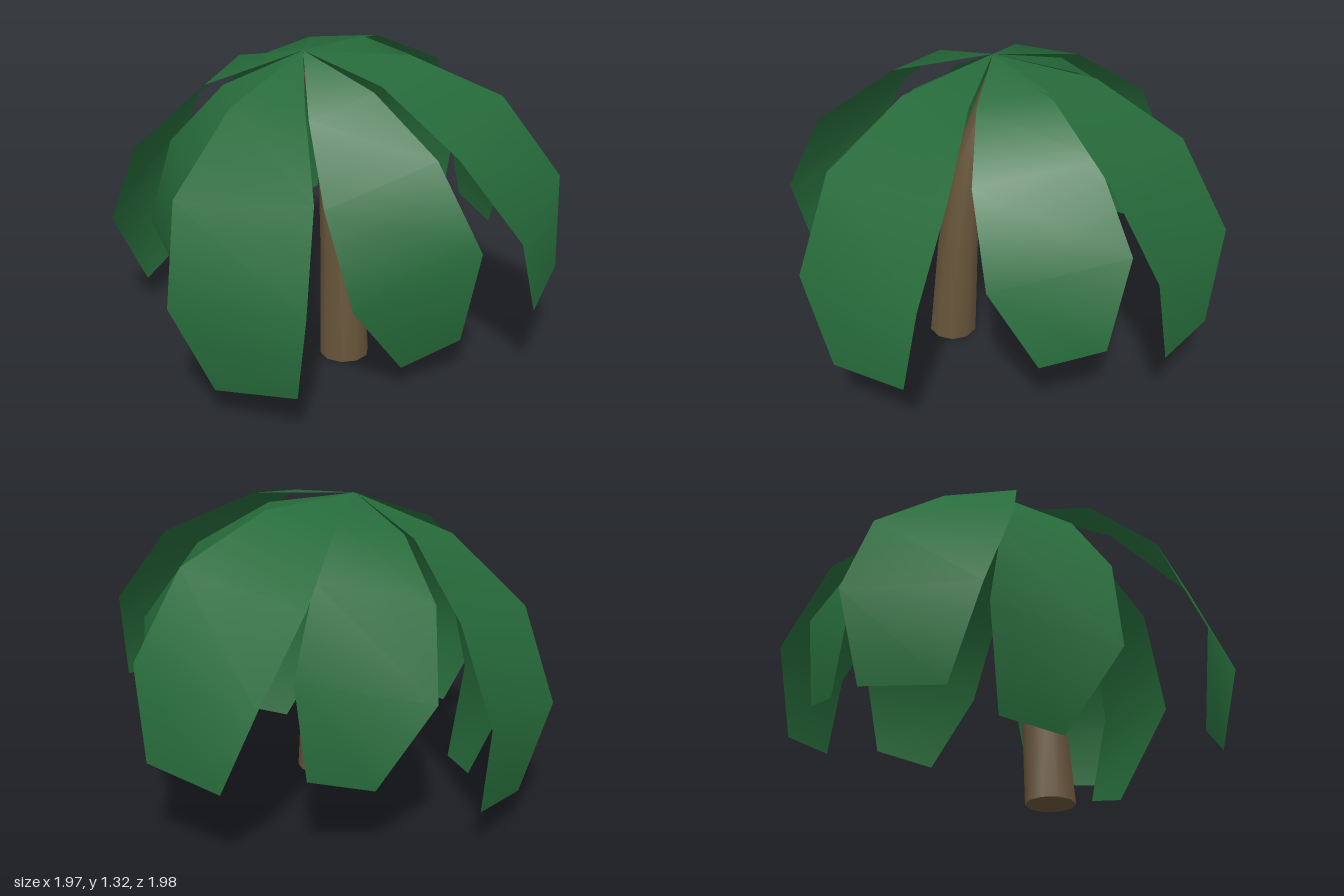
import * as THREE from 'three';

const CROWN = new THREE.Vector3(-0.1, 1.32, 0.05);
const RAD = Math.PI / 180;

// Leaf kinds: segment lengths, bend of each segment (degrees), widths at each row
const OUTER = { len: [0.41, 0.41, 0.42, 0.38], bend: [0, 23.5, 47, 81], width: [0.33, 0.6, 0.59, 0.36] };
const INNER = { len: [0.36, 0.36, 0.42, 0.42], bend: [0, 23.5, 47, 79], width: [0.29, 0.5, 0.58, 0.28] };

// kind, heading (from +x towards +z), droop, roll, length scale
const LEAVES = [
  [OUTER, 16, 5.6, -7.5, 1],
  [OUTER, 106, 19, -7, 1],
  [OUTER, 196, 19, 7.5, 1],
  [OUTER, 286, 5.6, 7.5, 1],
  [INNER, 62, 25, -16, 1],
  [INNER, 150, 31, 7, 0.96],
  [INNER, 240, 13.5, 14, 0.93],
  [INNER, 329, 5.5, -7.7, 0.95],
];

// A drooping strip that starts at a point, widens and ends in a blunt tip
function leafGeometry(kind, heading, droop, roll, scale) {
  const a = heading * RAD, s = Math.sin(roll * RAD), c = Math.cos(roll * RAD);
  const forward = new THREE.Vector3(Math.cos(a), 0, Math.sin(a));
  const side = new THREE.Vector3(-Math.sin(a) * c, s, Math.cos(a) * c);
  const up = new THREE.Vector3(Math.sin(a) * s, c, -Math.cos(a) * s);

  const points = [CROWN.clone()];
  const index = [0, 2, 1];
  const centre = CROWN.clone();
  kind.len.forEach((len, i) => {
    const angle = (droop + kind.bend[i]) * RAD;
    centre.addScaledVector(forward, len * scale * Math.cos(angle));
    centre.addScaledVector(up, -len * scale * Math.sin(angle));
    for (const k of [-0.5, 0.5]) points.push(centre.clone().addScaledVector(side, k * kind.width[i]));
    if (i > 0) {
      const p = 2 * i - 1;
      index.push(p, p + 1, p + 2, p + 1, p + 3, p + 2);
    }
  });

  const geometry = new THREE.BufferGeometry().setFromPoints(points);
  geometry.setIndex(index);
  geometry.computeVertexNormals();
  return geometry;
}

// Leaning, tapering trunk: a cylinder whose rings are moved along a bent path
function trunkGeometry() {
  // x, y, z, radius of each ring
  const rings = [
    [0.09, 0, 0.18, 0.107],
    [0.075, 0.45, 0.155, 0.092],
    [0.04, 0.87, 0.115, 0.07],
    [-0.07, 1.22, 0.04, 0.035],
  ];
  const geometry = new THREE.CylinderGeometry(1, 1, 3, 10, 3);
  const pos = geometry.attributes.position;
  for (let i = 0; i < pos.count; i++) {
    const [x, y, z, r] = rings[Math.round(pos.getY(i) + 1.5)];
    pos.setXYZ(i, x + pos.getX(i) * r, y, z + pos.getZ(i) * r);
  }
  geometry.computeVertexNormals();
  return geometry;
}

export function createModel() {
  const model = new THREE.Group();
  model.name = 'palmTree';

  const bark = new THREE.MeshStandardMaterial({ color: 0x66543a });
  const green = new THREE.MeshStandardMaterial({ color: 0x266b3a, side: THREE.DoubleSide });

  const trunk = new THREE.Mesh(trunkGeometry(), bark);
  trunk.name = 'trunk';
  model.add(trunk);

  const crown = new THREE.Group();
  crown.name = 'crown';
  LEAVES.forEach((leaf, i) => {
    const mesh = new THREE.Mesh(leafGeometry(...leaf), green);
    mesh.name = `leaf${i + 1}`;
    crown.add(mesh);
  });
  model.add(crown);
  return model;
}
